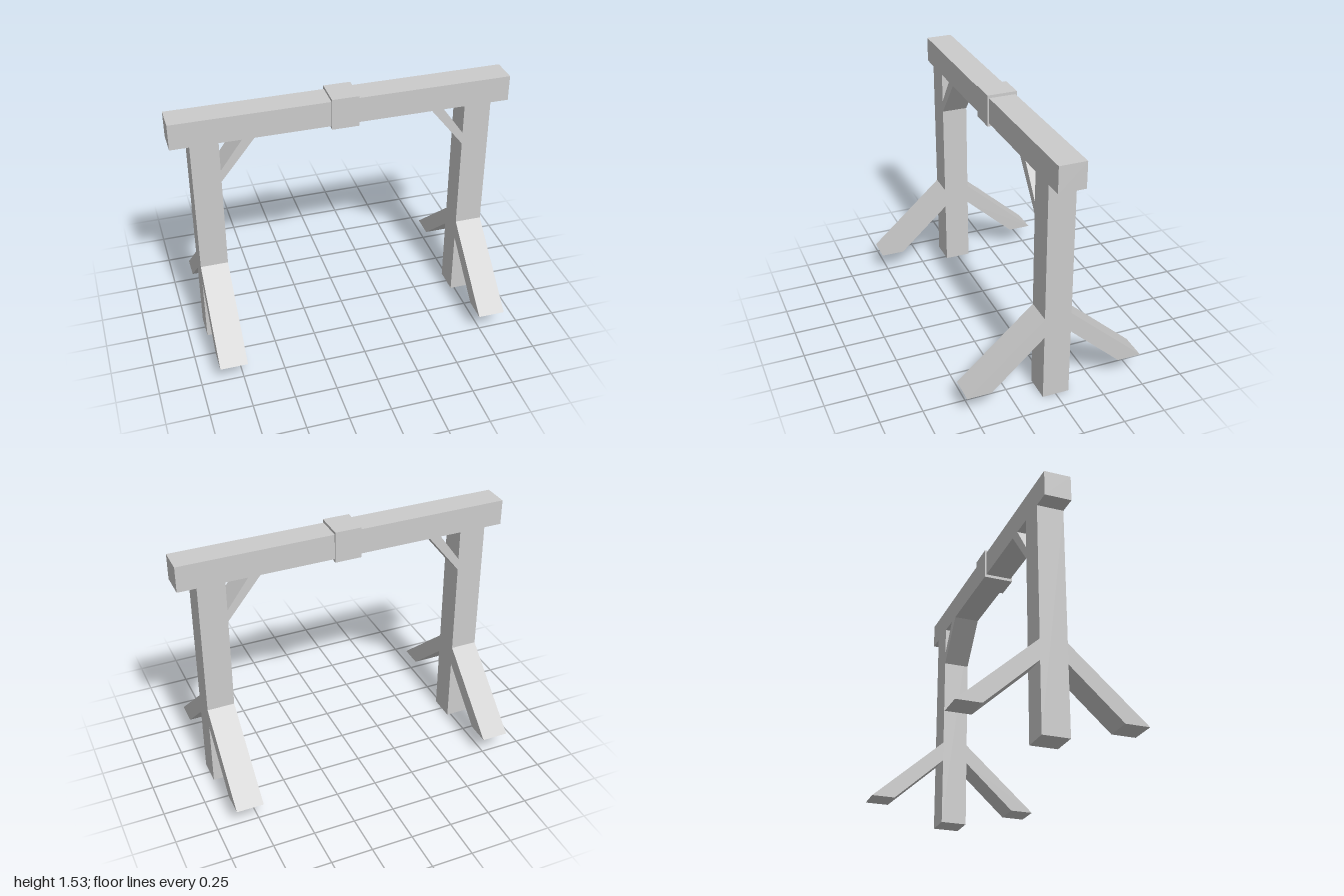
import * as THREE from 'three';

const material = new THREE.MeshStandardMaterial({ color: 0xcccccc, flatShading: true });

// Box given by its lower and upper corners
function block(name, [x0, y0, z0], [x1, y1, z1]) {
  const geometry = new THREE.BoxGeometry(x1 - x0, y1 - y0, z1 - z0);
  geometry.translate((x0 + x1) / 2, (y0 + y1) / 2, (z0 + z1) / 2);
  const mesh = new THREE.Mesh(geometry, material);
  mesh.name = name;
  return mesh;
}

// Mitred timber: a profile extruded evenly about its own plane
function timber(name, points, depth) {
  const shape = new THREE.Shape(points.map(([x, y]) => new THREE.Vector2(x, y)));
  const geometry = new THREE.ExtrudeGeometry(shape, { depth, bevelEnabled: false });
  geometry.translate(0, 0, -depth / 2);
  const mesh = new THREE.Mesh(geometry, material);
  mesh.name = name;
  return mesh;
}

export function createModel() {
  const model = new THREE.Group();
  model.name = 'timberFrame';

  const half = 0.08; // half depth of the timbers
  const inner = 0.727, outer = 0.89, beamBottom = 1.36;

  // Crossbeam and the collar around its middle
  model.add(block('crossbeam', [-1, beamBottom, -half], [1, 1.515, half]));
  model.add(block('collar', [-0.08, 1.342, -0.09], [0.08, 1.532, 0.09]));

  for (const side of [1, -1]) {
    const support = new THREE.Group();
    support.name = side > 0 ? 'leftSupport' : 'rightSupport';

    // Upright post
    support.add(block('post', [inner, 0, -half], [outer, beamBottom, half]));

    // Diagonal brace between post and beam
    support.add(timber('brace', [
      [inner, 1.107], [inner, 1.18], [0.597, beamBottom], [0.525, beamBottom],
    ], half * 2));

    // Sloping struts in front of and behind the post
    for (const dir of [1, -1]) {
      const strut = timber(dir > 0 ? 'frontStrut' : 'backStrut', [
        [half, 0.412], [0.393, 0.125], [0.537, 0.125], [half, 0.535],
      ], outer - inner);
      strut.rotation.y = -dir * Math.PI / 2;
      strut.position.x = (inner + outer) / 2;
      support.add(strut);
    }

    // The frame is symmetric front to back, so a half turn mirrors it
    if (side < 0) support.rotation.y = Math.PI;
    model.add(support);
  }
  return model;
}
